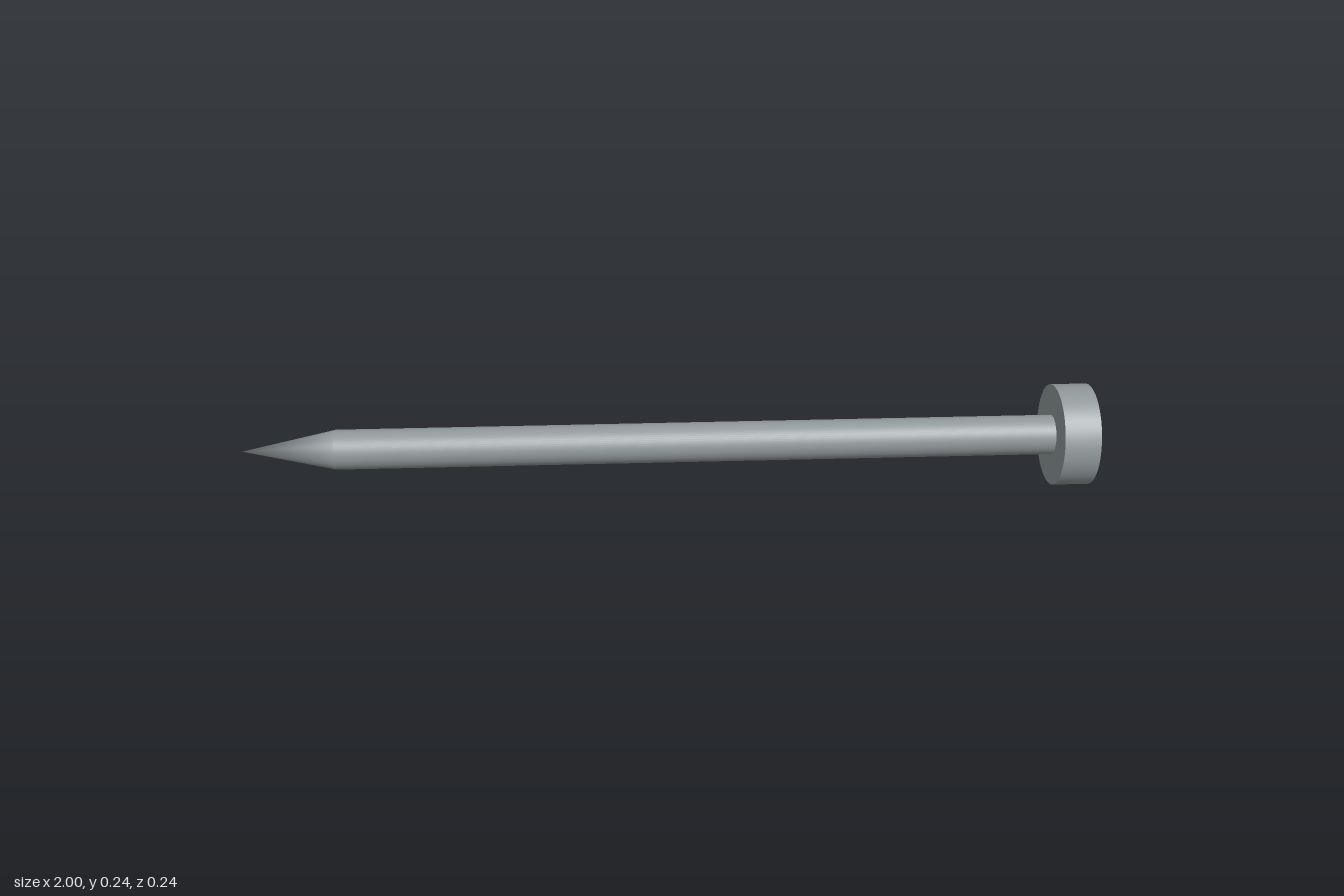
import * as THREE from 'three';
import { mergeVertices } from 'three/addons/utils/BufferGeometryUtils.js';

const HEAD_RADIUS = 0.12;
const SHAFT_RADIUS = 0.047;
const SEGMENTS = 64;

export function createModel() {
  const nail = new THREE.Group();
  nail.name = 'nail';
  const metal = new THREE.MeshStandardMaterial({ color: 0x91999b });

  // Adds a round part, turned from the y axis to lie along x
  function addPart(name, geometry, x) {
    const mesh = new THREE.Mesh(geometry.rotateZ(-Math.PI / 2), metal);
    mesh.name = name;
    mesh.position.set(x, HEAD_RADIUS, 0);
    nail.add(mesh);
  }

  // Flat disc head with sharp rims
  addPart('head', new THREE.CylinderGeometry(HEAD_RADIUS, HEAD_RADIUS, 0.085, SEGMENTS), 0.9575);

  // Shaft and conical point as one skin, smoothed across the shoulder and the tip
  const profile = [[0, -1], [SHAFT_RADIUS, -0.78], [SHAFT_RADIUS, 0.915]]
    .map(([radius, along]) => new THREE.Vector2(radius, along));
  const lathe = new THREE.LatheGeometry(profile, SEGMENTS);
  lathe.deleteAttribute('uv');
  lathe.deleteAttribute('normal');
  const skin = mergeVertices(lathe);
  skin.computeVertexNormals();
  addPart('shaftAndPoint', skin, 0);

  return nail;
}
